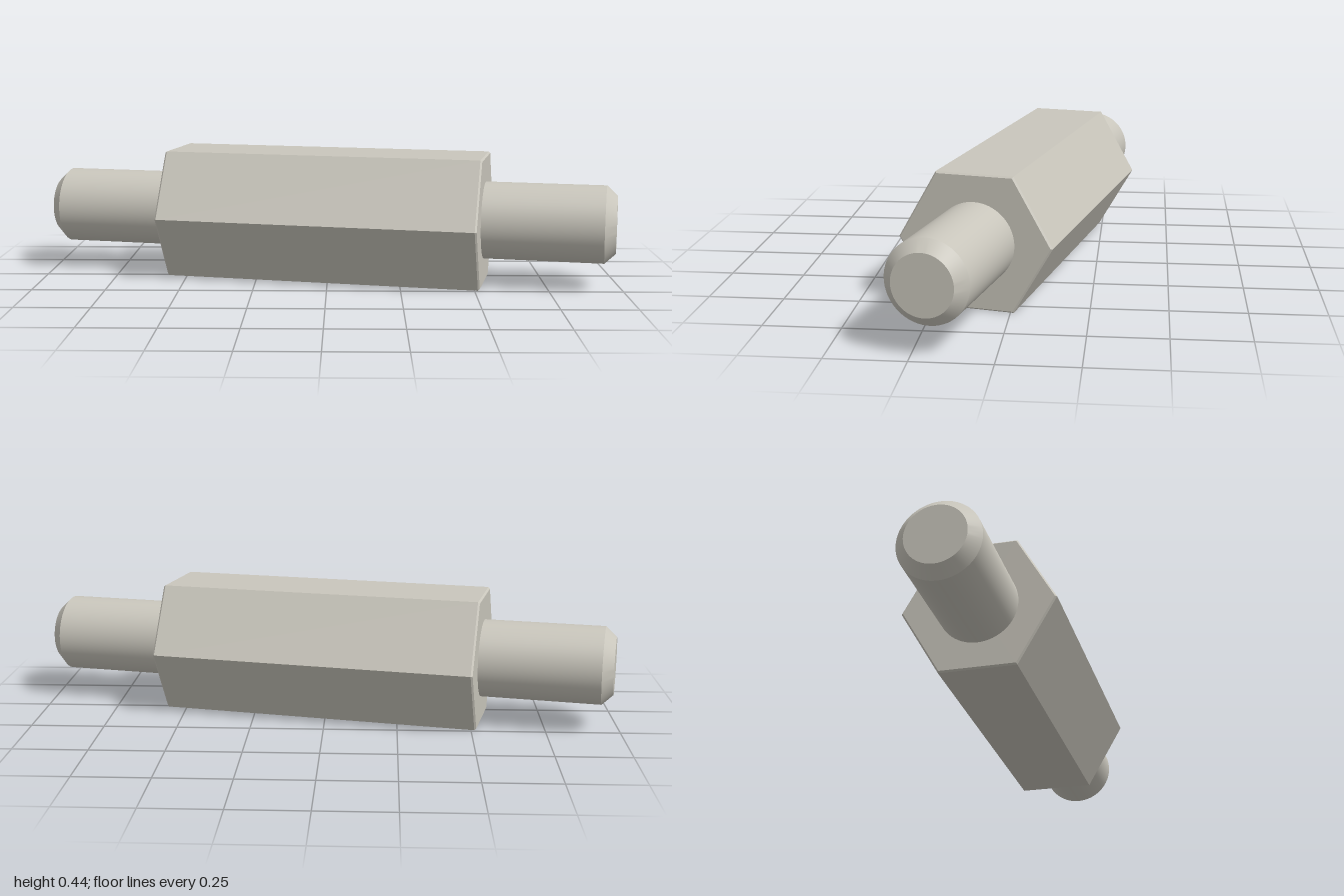
import * as THREE from 'three';
import { toCreasedNormals } from 'three/addons/utils/BufferGeometryUtils.js';

const metal = new THREE.MeshStandardMaterial({ color: 0xc9c6bc });
metal.name = 'warm grey metal';

// Revolve a [radius, position] profile around the x axis, keeping edges sharp
function turned(name, profile, sides) {
  const points = profile.map(([r, p]) => new THREE.Vector2(r, p));
  const geometry = toCreasedNormals(new THREE.LatheGeometry(points, sides), 0.5);
  geometry.rotateZ(-Math.PI / 2);
  const mesh = new THREE.Mesh(geometry, metal);
  mesh.name = name;
  return mesh;
}

export function createModel() {
  const model = new THREE.Group();
  model.name = 'hexStandoff';

  const half = 0.556, corner = 0.256, bevel = 0.006;
  const rod = 0.1325, tip = 0.0975, end = 1.0;

  // Hexagonal body with flats on top and bottom and lightly bevelled ends
  model.add(turned('hexBody', [
    [0, -half], [corner - bevel, -half], [corner, -half + bevel],
    [corner, half - bevel], [corner - bevel, half], [0, half],
  ], 6));

  // Round studs with chamfered tips, one at each end
  for (const side of [1, -1]) {
    const stud = turned(side > 0 ? 'leftStud' : 'rightStud', [
      [rod, half - 0.01], [rod, end - 0.037], [tip, end], [0, end],
    ], 64);
    if (side < 0) stud.rotation.y = Math.PI;
    model.add(stud);
  }

  // The part lies on a flat, turned slightly about the vertical
  model.rotation.y = -THREE.MathUtils.degToRad(12);
  model.position.y = corner * Math.cos(Math.PI / 6);

  const root = new THREE.Group();
  root.name = 'standoff';
  root.add(model);
  return root;
}
